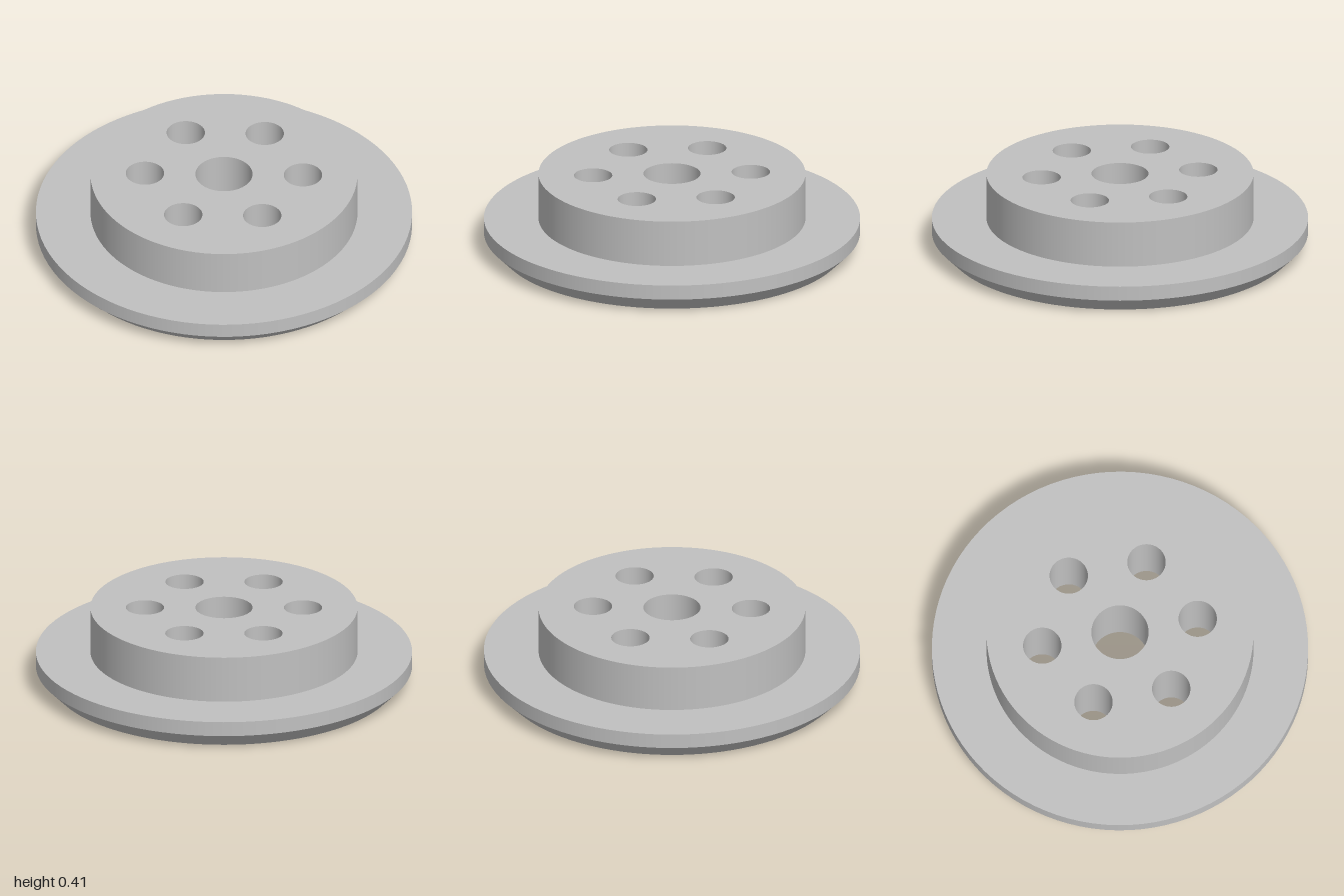
import * as THREE from 'three';

const SEGMENTS = 96;
const BASE_R = 0.917, FLANGE_R = 1, HUB_R = 0.71;
const CHAMFER_Y = 0.083, FLANGE_Y = 0.163, TOP_Y = 0.415;

// Centre bore plus six bolt holes on a circle
const holes = [{ name: 'centreBore', x: 0, z: 0, r: 0.152 }];
for (let i = 0; i < 6; i++) {
  const a = (i * Math.PI) / 3;
  holes.push({ name: 'boltHole' + (i + 1), x: 0.42 * Math.cos(a), z: 0.42 * Math.sin(a), r: 0.102 });
}

export function createModel() {
  const group = new THREE.Group();
  group.name = 'flangedHub';
  const metal = new THREE.MeshStandardMaterial({ color: 0xc0c0c0 });
  metal.name = 'grey metal';

  const add = (name, geometry) => {
    const mesh = new THREE.Mesh(geometry, metal);
    mesh.name = name;
    group.add(mesh);
    return mesh;
  };

  // One turned surface between two radius/height points, so edges stay sharp
  const turned = (r0, y0, r1, y1) =>
    new THREE.LatheGeometry([new THREE.Vector2(r0, y0), new THREE.Vector2(r1, y1)], SEGMENTS);

  // Flat disc pierced by every hole
  const piercedDisc = (radius) => {
    const shape = new THREE.Shape().absarc(0, 0, radius, 0, Math.PI * 2);
    for (const h of holes) {
      shape.holes.push(new THREE.Path().absarc(h.x, h.z, h.r, 0, Math.PI * 2, true));
    }
    return new THREE.ShapeGeometry(shape, SEGMENTS / 2);
  };

  // Flange with a chamfered lower edge
  add('flangeBottom', piercedDisc(BASE_R).rotateX(Math.PI / 2));
  add('flangeChamfer', turned(BASE_R, 0, FLANGE_R, CHAMFER_Y));
  add('flangeRim', turned(FLANGE_R, CHAMFER_Y, FLANGE_R, FLANGE_Y));
  add('flangeTop', turned(FLANGE_R, FLANGE_Y, HUB_R, FLANGE_Y));

  // Raised hub
  add('hubWall', turned(HUB_R, FLANGE_Y, HUB_R, TOP_Y));
  add('hubTop', piercedDisc(HUB_R).rotateX(-Math.PI / 2).translate(0, TOP_Y, 0));

  // Inward-facing walls of the through holes
  for (const h of holes) {
    add(h.name, turned(h.r, TOP_Y, h.r, 0)).position.set(h.x, 0, h.z);
  }
  return group;
}
